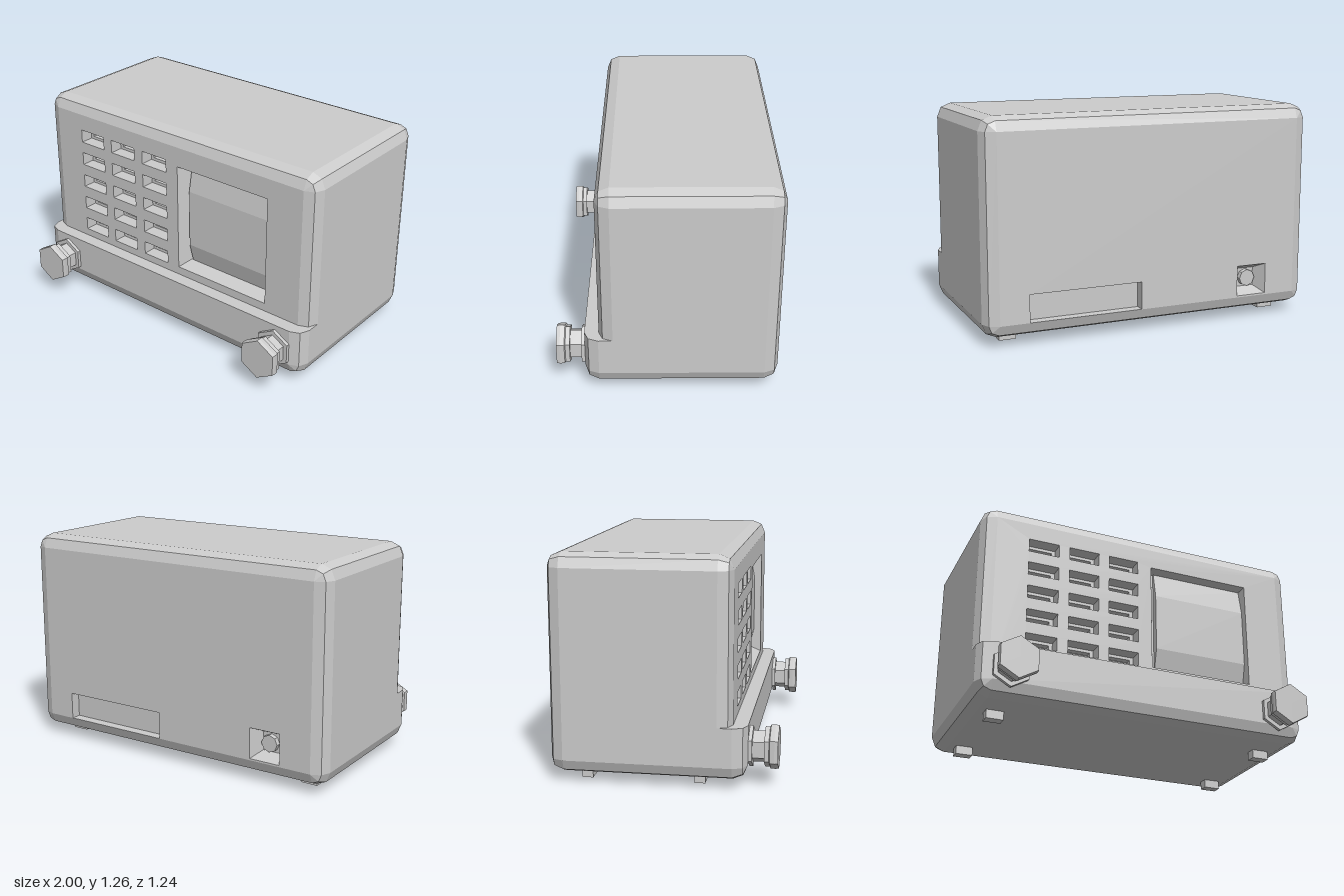
import * as THREE from 'three';

const material = new THREE.MeshStandardMaterial({ color: 0xcccccc, flatShading: true });
const R = 0.08;            // edge rounding, two facets per edge
const K = R * (1 - Math.SQRT1_2);

function add(parent, name, geometry, x = 0, y = 0, z = 0) {
  const mesh = new THREE.Mesh(geometry, material);
  mesh.name = name;
  mesh.position.set(x, y, z);
  parent.add(mesh);
  return mesh;
}

// Skin between closed loops of equal length
function loft(loops) {
  const pos = [];
  const tri = (a, b, c) => {
    if (new THREE.Triangle(a, b, c).getArea() > 1e-8) for (const p of [a, b, c]) pos.push(p.x, p.y, p.z);
  };
  for (let i = 0; i < loops.length - 1; i++) {
    const A = loops[i], B = loops[i + 1], n = A.length;
    for (let j = 0; j < n; j++) {
      const k = (j + 1) % n;
      tri(A[j], A[k], B[j]);
      tri(A[k], B[k], B[j]);
    }
  }
  const g = new THREE.BufferGeometry();
  g.setAttribute('position', new THREE.Float32BufferAttribute(pos, 3));
  g.computeVertexNormals();
  return g;
}

// Outline of the case at depth z; squareTop keeps the upper edge straight
function outline(y0, y1, z, inset, squareTop = false) {
  const pts = [], r = R - inset;
  const corners = [[-1 + R, y0 + R, 180], [1 - R, y0 + R, 270], [1 - R, y1 - R, 0], [-1 + R, y1 - R, 90]];
  corners.forEach(([cx, cy, start], i) => {
    if (squareTop && i > 1) {
      pts.push(new THREE.Vector3(Math.sign(cx) * (1 - inset), y1, z));
      return;
    }
    for (let s = 0; s < 3; s++) {
      const a = THREE.MathUtils.degToRad(start + s * 45);
      pts.push(new THREE.Vector3(cx + r * Math.cos(a), cy + r * Math.sin(a), z));
    }
  });
  return pts;
}

// Rectangle [x0, x1, y0, y1] at depth z
const rect = ([x0, x1, y0, y1], z = 0) =>
  [[x0, y0], [x1, y0], [x1, y1], [x0, y1]].map(([x, y]) => new THREE.Vector3(x, y, z));
const flat = (r) => rect(r).map((p) => new THREE.Vector2(p.x, p.y));

// Flat panel with rectangular openings
function panel(r, holes) {
  const shape = new THREE.Shape(flat(r));
  holes.forEach((h) => shape.holes.push(new THREE.Path(flat(h).reverse())));
  return new THREE.ShapeGeometry(shape);
}

// Pocket stepping through [rectangle, z] stations, closed by a floor
function pocket(parent, name, steps) {
  add(parent, name + 'Walls', loft(steps.map(([r, z]) => rect(r, z))));
  const [r, z] = steps[steps.length - 1];
  add(parent, name + 'Floor', panel(r, []), 0, 0, z);
}

const around = (x, y, w, h) => [x - w / 2, x + w / 2, y - h / 2, y + h / 2];

export function createModel() {
  const model = new THREE.Group();
  model.name = 'tabletopRadio';
  const y0 = 0.05, y1 = 1.26, back = -0.62, front = 0.38;

  // Case shell with rounded edges
  add(model, 'caseShell', loft([
    [back, R], [back + K, K], [back + R, 0], [front - R, 0], [front - K, K], [front, R],
  ].map(([z, inset]) => outline(y0, y1, z, inset))));
  const face = [-1 + R, 1 - R, y0 + R, y1 - R];

  // Front face with grille slots and a dial window
  const frontGroup = new THREE.Group();
  frontGroup.name = 'frontFace';
  frontGroup.position.z = front;
  model.add(frontGroup);
  const windowRect = [0.05, 0.69, 0.40, 1.06];
  const holes = [windowRect];
  for (let row = 0; row < 5; row++) {
    for (let col = 0; col < 3; col++) {
      const x = -0.63 + col * 0.25, y = 0.435 + row * 0.151;
      const outer = around(x, y, 0.185, 0.08), inner = around(x, y, 0.14, 0.045);
      holes.push(outer);
      pocket(frontGroup, 'grilleSlot', [[outer, 0], [outer, -0.08], [inner, -0.08], [inner, -0.12]]);
    }
  }
  add(frontGroup, 'frontPanel', panel(face, holes));
  pocket(frontGroup, 'windowRecess', [[windowRect, 0], [[0.09, 0.69, 0.435, 1.06], -0.085]]);

  // Bulging dial screen, profile given as (depth, height)
  const screen = new THREE.Shape([[0.085, 0.435], [0.075, 0.435], [0.045, 0.55], [0.045, 0.90],
    [0.075, 1.06], [0.085, 1.06]].map(([x, y]) => new THREE.Vector2(x, y)));
  add(frontGroup, 'dialScreen',
    new THREE.ExtrudeGeometry(screen, { depth: 0.59, bevelEnabled: false }).rotateY(Math.PI / 2), 0.1, 0, 0);

  // Back face with a long recess and a socket; local x is mirrored
  const backGroup = new THREE.Group();
  backGroup.name = 'backFace';
  backGroup.position.z = back;
  backGroup.rotation.y = Math.PI;
  model.add(backGroup);
  const slot = [-0.75, -0.08, 0.131, 0.29];
  const socket = around(0.635, 0.23, 0.19, 0.18);
  add(backGroup, 'backPanel', panel(face, [slot, socket]));
  pocket(backGroup, 'backRecess', [[slot, 0], [slot, -0.06]]);
  pocket(backGroup, 'socket', [[socket, 0], [around(0.635, 0.23, 0.11, 0.11), -0.08]]);
  add(backGroup, 'socketPin', new THREE.CylinderGeometry(0.05, 0.05, 0.03, 8).rotateX(Math.PI / 2),
    0.635, 0.23, -0.065);

  // Lower control ledge in front of the case
  const lip = 0.46, top = 0.35;
  add(model, 'controlLedge', loft([[front - R, 0], [lip - R, 0], [lip - K, K], [lip, R]]
    .map(([z, inset]) => outline(y0, top, z, inset, true))));
  add(model, 'controlPanel', panel([-1 + R, 1 - R, y0 + R, top], []), 0, 0, lip);

  // Hexagonal knobs, profile as (radius, distance forward)
  const knob = [[0, 0], [0.115, 0], [0.115, 0.02], [0.088, 0.02], [0.088, 0.085], [0.113, 0.085],
    [0.113, 0.11], [0.123, 0.115], [0.125, 0.14], [0.122, 0.16], [0, 0.16]]
    .map(([x, y]) => new THREE.Vector2(x, y));
  for (const side of [-1, 1]) {
    add(model, side > 0 ? 'leftKnob' : 'rightKnob',
      new THREE.LatheGeometry(knob, 6).rotateX(Math.PI / 2), side * 0.822, 0.208, lip);
    // Feet
    for (const z of [0.195, -0.43]) add(model, 'foot', new THREE.BoxGeometry(0.1, 0.06, 0.06), side * 0.83, 0.03, z);
  }

  // Underside of the case is part of the shell
  return model;
}
